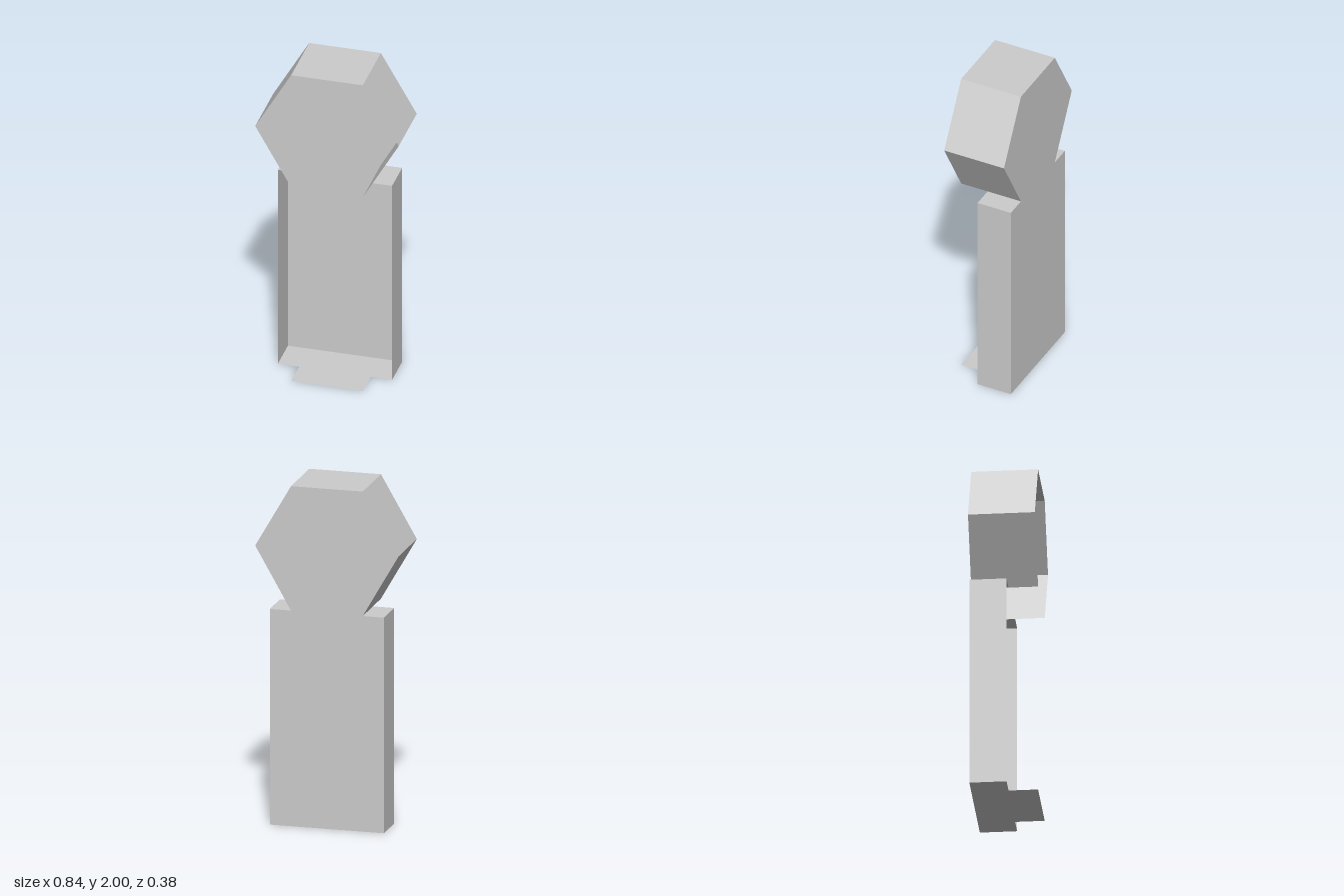
import * as THREE from 'three';

const BACK = -0.19, FRONT = 0.19, LOWER_FRONT = 0.022;
const HALF_BODY = 0.336, HALF_HEX = 0.211, HEX_R = 0.422;
const SHOULDER = 1.268, HEX_MID = 1.635, TOP = 2;

// Thin sheet-like panels, visible from both sides
const material = new THREE.MeshStandardMaterial({
  color: 0xcccccc, side: THREE.DoubleSide, flatShading: true,
});

function mesh(name, geometry) {
  const m = new THREE.Mesh(geometry, material);
  m.name = name;
  return m;
}

// Walls along a clockwise path of [x, y] points, from the back plane to zFront
function walls(name, path, zFront) {
  const pos = [];
  for (let i = 0; i < path.length - 1; i++) {
    const [x0, y0] = path[i], [x1, y1] = path[i + 1];
    const a = [x0, y0, BACK], b = [x0, y0, zFront], c = [x1, y1, zFront], d = [x1, y1, BACK];
    pos.push(...a, ...b, ...c, ...a, ...c, ...d);
  }
  const g = new THREE.BufferGeometry();
  g.setAttribute('position', new THREE.Float32BufferAttribute(pos, 3));
  g.computeVertexNormals();
  return mesh(name, g);
}

const flat = (points) =>
  new THREE.ShapeGeometry(new THREE.Shape(points.map(([x, y]) => new THREE.Vector2(x, y))));

// Complete a left half outline with its mirror image
const mirrored = (half) => [...half, ...half.map(([x, y]) => [-x, y]).reverse()];

export function createModel() {
  const group = new THREE.Group();
  group.name = 'openShell';

  const lowerLeft = [[-HALF_BODY, 0], [-HALF_BODY, SHOULDER], [-HALF_HEX, SHOULDER]];
  const hexLeft = [[-HALF_HEX, SHOULDER], [-HEX_R, HEX_MID], [-HALF_HEX, TOP]];

  // Back panel: rectangle with hexagonal head, facing backwards
  const back = flat(mirrored([...lowerLeft, ...hexLeft.slice(1)]));
  back.rotateY(Math.PI).translate(0, 0, BACK);
  group.add(mesh('backPanel', back));

  // Five deep walls of the head, open at the bottom and front
  group.add(walls('headWalls', mirrored(hexLeft), FRONT));

  // Shallow side walls and shoulders of the lower body
  group.add(walls('rightBodyWalls', lowerLeft, LOWER_FRONT));
  group.add(walls('leftBodyWalls', lowerLeft.map(([x, y]) => [-x, y]).reverse(), LOWER_FRONT));

  // Floor with a narrower tab reaching forward
  const floor = flat(mirrored([
    [-HALF_BODY, BACK], [-HALF_BODY, LOWER_FRONT], [-HALF_HEX, LOWER_FRONT], [-HALF_HEX, FRONT],
  ]));
  floor.rotateX(Math.PI / 2);
  group.add(mesh('floorPanel', floor));

  return group;
}
